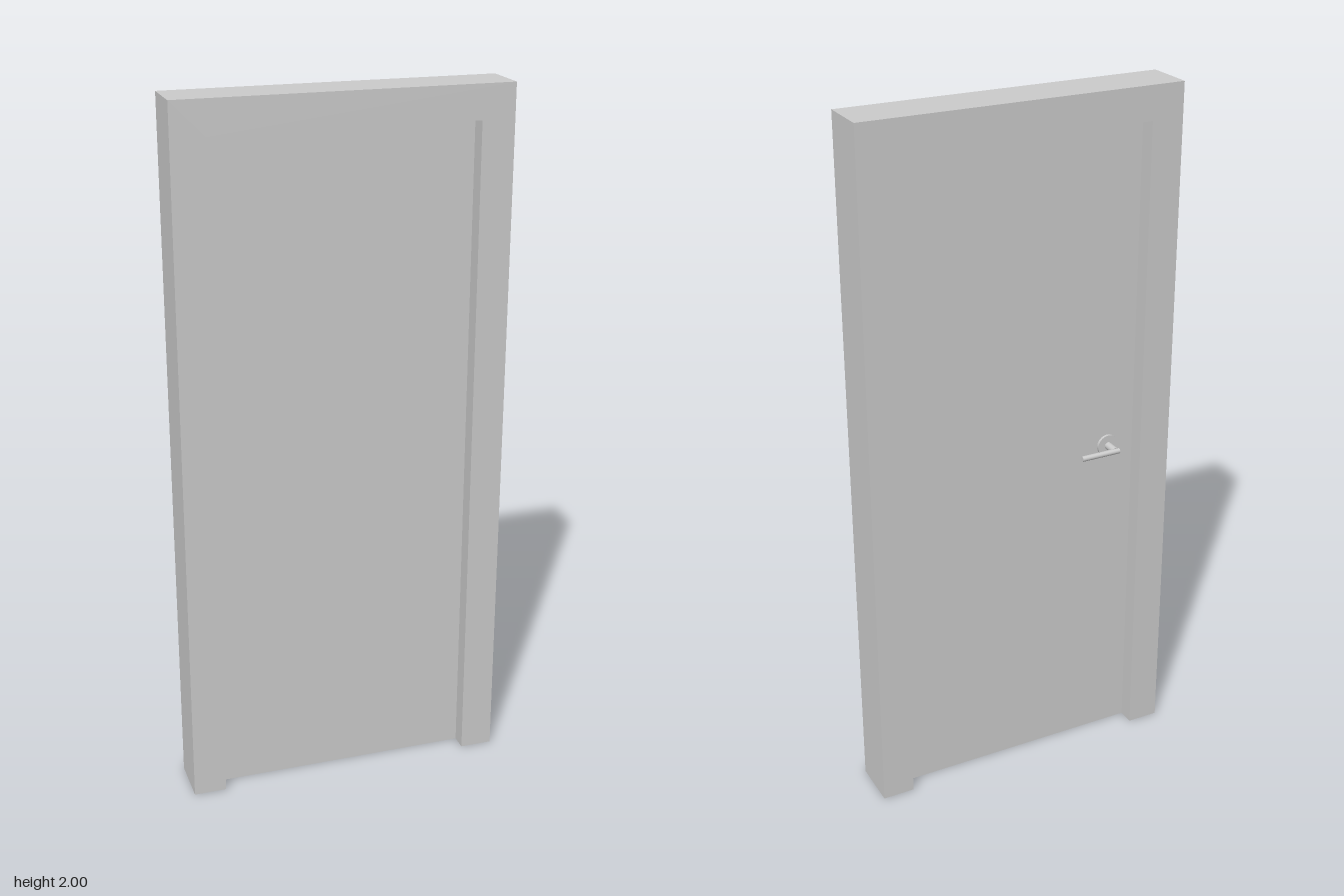
import * as THREE from 'three';

export function createModel() {
  const group = new THREE.Group();
  const material = new THREE.MeshStandardMaterial({ color: 0xcccccc });

  const add = (parent, name, geometry, x, y, z) => {
    const mesh = new THREE.Mesh(geometry, material);
    mesh.name = name;
    mesh.position.set(x, y, z);
    parent.add(mesh);
    return mesh;
  };

  const halfWidth = 0.463, halfOpening = 0.37, openingTop = 1.905;
  const back = -0.068, depth = 0.145;

  // Frame: one U-shaped profile, open at the floor
  const outline = new THREE.Shape([
    [-halfWidth, 0], [-halfOpening, 0], [-halfOpening, openingTop], [halfOpening, openingTop],
    [halfOpening, 0], [halfWidth, 0], [halfWidth, 2], [-halfWidth, 2],
  ].map(([x, y]) => new THREE.Vector2(x, y)));
  add(group, 'frame', new THREE.ExtrudeGeometry(outline, { depth, bevelEnabled: false }), 0, 0, back);

  // Door leaf, recessed on both sides
  const leafBack = -0.02, leafThickness = 0.049;
  add(group, 'doorLeaf', new THREE.BoxGeometry(halfOpening * 2, openingTop, leafThickness),
    0, openingTop / 2, leafBack + leafThickness / 2);

  // Handle on the back: rosette, neck and lever pointing to the middle
  const handle = new THREE.Group();
  handle.name = 'handle';
  handle.position.set(-0.287, 0.964, leafBack);
  group.add(handle);

  const rosetteDepth = 0.008, leverRadius = 0.008, leverLength = 0.12, leverZ = -0.07;
  add(handle, 'rosette', new THREE.CylinderGeometry(0.032, 0.032, rosetteDepth, 32),
    0, 0, -rosetteDepth / 2).rotation.x = Math.PI / 2;
  const neckLength = -(leverZ - leafBack);
  add(handle, 'neck', new THREE.CylinderGeometry(0.011, 0.011, neckLength, 24),
    0, 0, -neckLength / 2).rotation.x = Math.PI / 2;
  add(handle, 'lever', new THREE.CylinderGeometry(leverRadius, leverRadius, leverLength, 20),
    leverLength / 2 - 0.011, 0, leverZ - leafBack).rotation.z = Math.PI / 2;

  return group;
}
